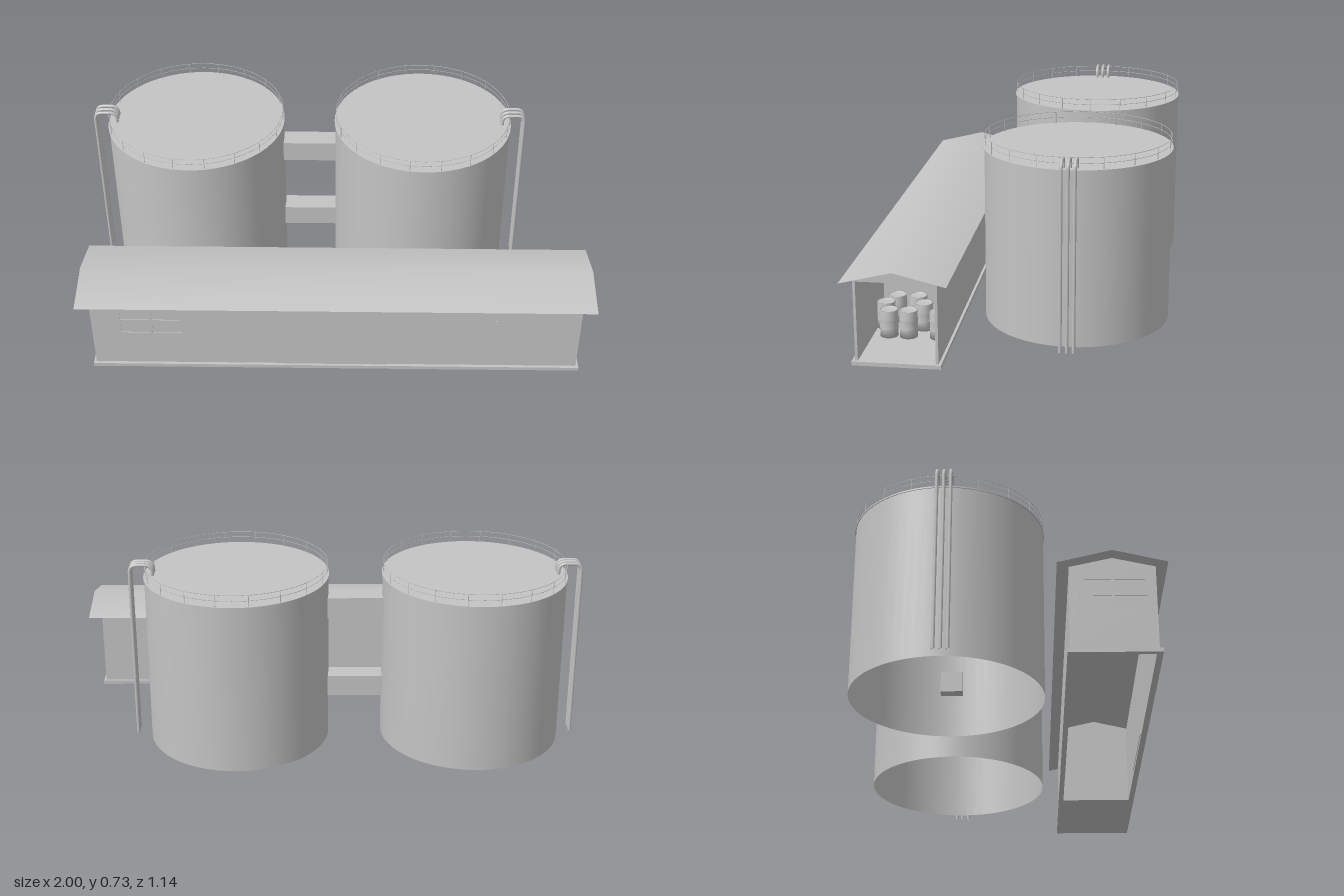
import * as THREE from 'three';
import { mergeGeometries } from 'three/addons/utils/BufferGeometryUtils.js';

const grey = new THREE.MeshStandardMaterial({ color: 0xc4c4c4, side: THREE.DoubleSide });
grey.name = 'plain grey';

function add(parent, name, geometry, x = 0, y = 0, z = 0) {
  const mesh = new THREE.Mesh(geometry, grey);
  mesh.name = name;
  mesh.position.set(x, y, z);
  parent.add(mesh);
  return mesh;
}

// Box given by its lower and upper corners
function block(parent, name, [x0, y0, z0], [x1, y1, z1]) {
  return add(parent, name, new THREE.BoxGeometry(x1 - x0, y1 - y0, z1 - z0),
    (x0 + x1) / 2, (y0 + y1) / 2, (z0 + z1) / 2);
}

const points = (list) => list.map(([x, y]) => new THREE.Vector2(x, y));
const rect = (x0, y0, x1, y1) => points([[x0, y0], [x1, y0], [x1, y1], [x0, y1]]);

// Flat outline with rectangular holes, given a thickness
function sheet(outline, holes, depth) {
  const shape = new THREE.Shape(points(outline));
  holes.forEach((h) => shape.holes.push(new THREE.Path(rect(...h))));
  return new THREE.ExtrudeGeometry(shape, { depth, bevelEnabled: false });
}

// Four panes in two rows, starting at u
const paneRects = (u) => [0, 0.122].flatMap((du) =>
  [0.172, 0.237].map((y) => [u + du, y, u + du + 0.112, y + 0.048]));

// ---- Storage tank with lid, railing and outside pipes ----
const R = 0.357, H = 0.675, TANK_Z = -0.213;

function makeTank(x, side) {
  const tank = new THREE.Group();
  tank.name = side < 0 ? 'rightTank' : 'leftTank';
  tank.position.set(x, 0, TANK_Z);

  add(tank, 'tankShell', new THREE.CylinderGeometry(R, R, H, 64, 1, true), 0, H / 2);
  add(tank, 'tankLid', new THREE.CylinderGeometry(R + 0.003, R + 0.003, 0.006, 64), 0, H);

  // Railing: two hoops on thin posts
  const rail = [];
  for (const y of [0.702, 0.724]) {
    const hoop = new THREE.TorusGeometry(R - 0.003, 0.0012, 4, 64);
    hoop.rotateX(Math.PI / 2).translate(0, y, 0);
    rail.push(hoop);
  }
  for (let i = 0; i < 18; i++) {
    const a = (i / 18) * Math.PI * 2;
    const post = new THREE.CylinderGeometry(0.0012, 0.0012, 0.05, 4);
    post.translate(Math.cos(a) * (R - 0.003), 0.7, Math.sin(a) * (R - 0.003));
    rail.push(post);
  }
  add(tank, 'railing', mergeGeometries(rail));

  // Three pipes rising outside and bending down into the lid
  const xo = side * (R + 0.055), xi = side * (R - 0.033), b = side * 0.03;
  const v = (px, py) => new THREE.Vector3(px, py, 0);
  const path = new THREE.CurvePath();
  path.add(new THREE.LineCurve3(v(xo, 0), v(xo, 0.69)));
  path.add(new THREE.QuadraticBezierCurve3(v(xo, 0.69), v(xo, 0.72), v(xo - b, 0.72)));
  path.add(new THREE.LineCurve3(v(xo - b, 0.72), v(xi + b, 0.72)));
  path.add(new THREE.QuadraticBezierCurve3(v(xi + b, 0.72), v(xi, 0.72), v(xi, 0.69)));
  path.add(new THREE.LineCurve3(v(xi, 0.69), v(xi, H)));
  const pipe = new THREE.TubeGeometry(path, 120, 0.0065, 8);
  for (const z of [-0.025, 0, 0.025]) add(tank, 'pipe', pipe, 0, 0, z);
  return tank;
}

// ---- Smooth-shaded gable roof: top and underside share the ridge normals ----
function roofGeometry() {
  const profile = [[0.567, 0.325], [0.375, 0.372], [0.183, 0.325]];
  const pos = [], index = [];
  for (const x of [-1, 1]) for (const [z, y] of profile) pos.push(x, y, z);
  for (const i of [0, 1]) index.push(i, i + 3, i + 4, i, i + 4, i + 1);
  const g = new THREE.BufferGeometry();
  g.setAttribute('position', new THREE.Float32BufferAttribute(pos, 3));
  g.setIndex(index);
  g.computeVertexNormals();
  return g;
}

// ---- Long shed ----
function makeShed() {
  const shed = new THREE.Group();
  shed.name = 'shed';
  const x0 = -0.95, x1 = 0.95, z0 = 0.225, z1 = 0.528, T = 0.01;
  const base = 0.015, top = 0.322, bay = 0.51;

  // Base frame, open beneath the closed rooms and floored in the storage bay
  const frame = sheet([[-0.96, -0.54], [0.96, -0.54], [0.96, -0.215], [-0.96, -0.215]],
    [[x0 + T, -z1 + T, bay, -z0 - T]], base);
  frame.rotateX(-Math.PI / 2);
  add(shed, 'baseFrame', frame);

  // Long walls
  const longWall = [[x0, base], [x1, base], [x1, top], [x0, top]];
  const frontPanes = paneRects(-0.836);
  add(shed, 'frontWall', sheet(longWall, frontPanes, T), 0, 0, z1 - T);
  block(shed, 'backWall', [x0, base, z0], [x1, top, z0 + T]);
  frontPanes.forEach(([a, b, c, d]) =>
    block(shed, 'frontWindow', [a, b, z1 - 0.007], [c, d, z1 - 0.003]));

  // End wall with windows, and the partition closing off the bay
  const gable = [[z0, base], [z1, base], [z1, 0.334], [0.3765, 0.369], [z0, 0.334]];
  const endPanes = paneRects(0.26);
  const endWall = (name, holes, x) => {
    const g = sheet(gable, holes, T);
    g.rotateY(-Math.PI / 2);
    add(shed, name, g, x);
  };
  endWall('endWall', endPanes, x0 + T);
  endWall('partition', [], bay + T);
  endPanes.forEach(([a, b, c, d]) =>
    block(shed, 'endWindow', [x0 + 0.003, b, a], [x0 + 0.007, d, c]));

  // Triangle above the open end, and the ceiling of the bay
  const triangle = sheet([[z0, top], [z1, top], [z1, 0.334], [0.3765, 0.369], [z0, 0.334]], [], T);
  triangle.rotateY(-Math.PI / 2);
  add(shed, 'openEndGable', triangle, x1);
  block(shed, 'ceiling', [bay, 0.316, z0 + T], [x1, top, z1 - T]);

  // Wide front door and slim handle bar
  block(shed, 'door', [-0.2, base, z1 - T - 0.002], [0.2, 0.31, z1 + 0.003]);
  block(shed, 'handleBar', [0.621, 0.095, z1], [0.626, 0.25, z1 + 0.004]);

  add(shed, 'roof', roofGeometry());

  // Ribbed drums standing in the bay
  const drum = new THREE.LatheGeometry(points([
    [0, 0], [0.034, 0], [0.034, 0.033], [0.036, 0.035], [0.034, 0.037],
    [0.034, 0.067], [0.036, 0.069], [0.034, 0.071], [0.034, 0.104], [0.031, 0.104],
    [0.031, 0.1], [0, 0.1]]), 20);
  const spots = [[0.71, 0.456], [0.71, 0.382], [0.71, 0.268], [0.63, 0.484],
    [0.63, 0.34], [0.63, 0.268], [0.555, 0.456], [0.555, 0.376]];
  spots.forEach(([x, z]) => add(shed, 'drum', drum, x, base + 0.003, z));
  return shed;
}

export function createModel() {
  const model = new THREE.Group();
  model.name = 'tankStation';
  model.add(makeTank(-0.58, -1), makeTank(0.345, 1), makeShed());

  // Square ducts joining the tanks, reaching a little inside them
  for (const y of [0.17, 0.503])
    block(model, 'duct', [-0.27, y, -0.257], [0.035, y + 0.085, -0.172]);
  return model;
}
